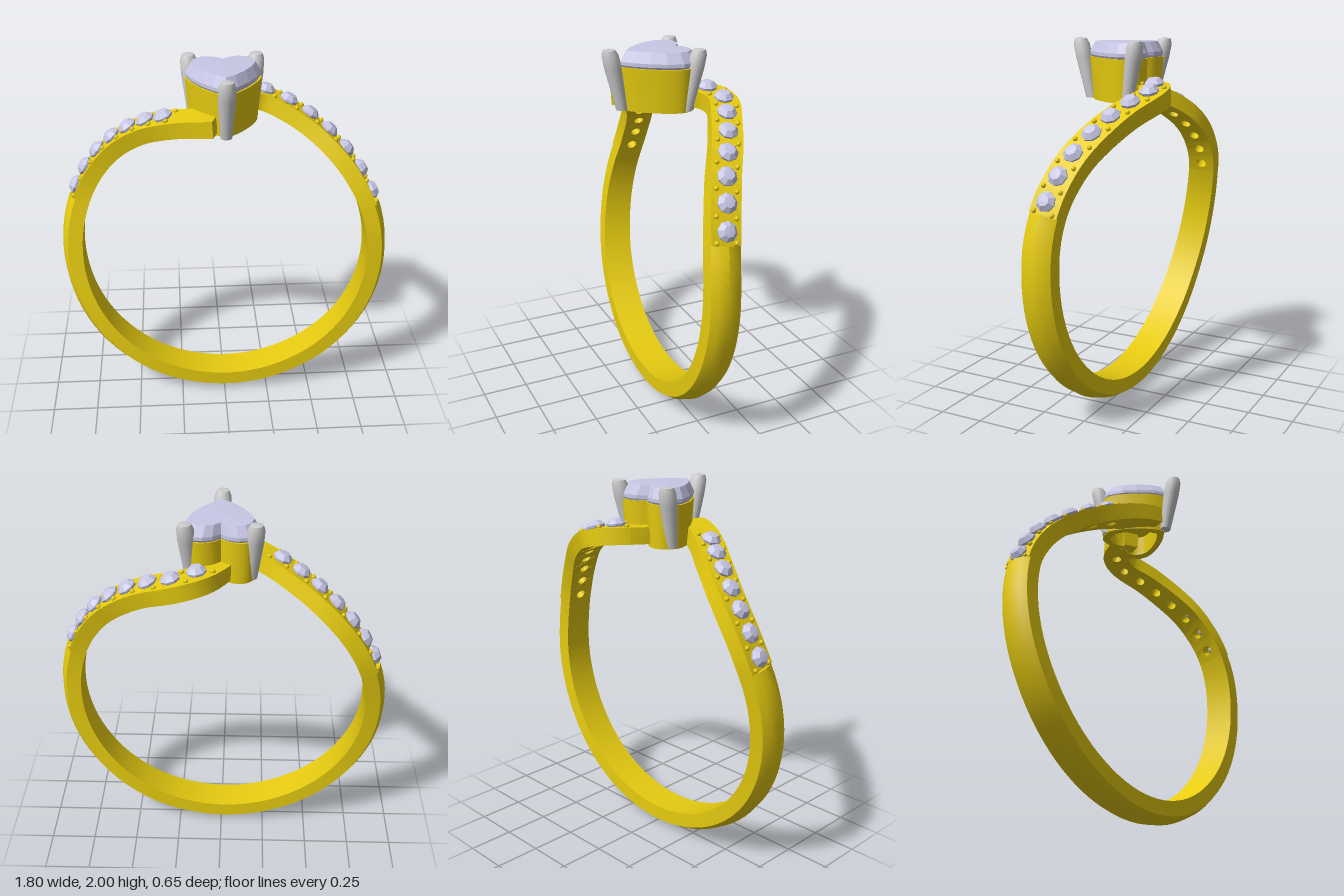
import * as THREE from 'three';
import { mergeGeometries, toCreasedNormals } from 'three/addons/utils/BufferGeometryUtils.js';

const CY = 0.9, R_IN = 0.787, R_PAVE = 0.877, R_MID = 0.83;
const DEG = Math.PI / 180;
const gold = new THREE.MeshStandardMaterial({ color: 0xe6cb10 });
const grey = new THREE.MeshStandardMaterial({ color: 0xcccccc });
const gem = new THREE.MeshStandardMaterial({ color: 0xc8c8e6, flatShading: true });

// Centre line of the band, unrolled: degrees clockwise from the top, and z.
const path = new THREE.CatmullRomCurve3([
  [0.5, -0.08], [4, -0.17], [9, -0.235], [16, -0.253], [27, -0.19], [35, -0.14],
  [48, -0.055], [58, -0.008], [66, 0.02], [78, 0.042], [95, 0.048], [120, 0.045],
  [150, 0.03], [180, 0.02], [210, 0.005], [240, -0.03], [265, -0.08], [282, -0.12],
  [294, -0.148], [302, -0.152], [310, -0.145], [318, -0.12], [325, -0.08],
  [332, -0.03], [339, 0.035], [346, 0.095], [352, 0.14], [357, 0.165],
].map(([a, z]) => new THREE.Vector3(a * DEG * R_MID, z, 0)));
path.arcLengthDivisions = 800;
const LEN = path.getLength();

// Length along the path at a given angle.
function lengthAt(deg) {
  let lo = 0, hi = 1;
  for (let i = 0; i < 30; i++) {
    const m = (lo + hi) / 2;
    if (path.getPointAt(m).x < deg * DEG * R_MID) lo = m; else hi = m;
  }
  return lo * LEN;
}

// Point on the band: s along it, w across it, r from the ring's axis.
function onBand(s, w, r) {
  const u = THREE.MathUtils.clamp(s / LEN, 0, 1);
  const c = path.getPointAt(u), t = path.getTangentAt(u);
  const a = (c.x - t.y * w) / R_MID;
  return { angle: a, pos: new THREE.Vector3(r * Math.sin(a), CY + r * Math.cos(a), c.y + t.x * w) };
}

function bend(geo, rule) {
  const p = geo.attributes.position;
  for (let i = 0; i < p.count; i++) {
    const q = onBand(...rule(p.getX(i), p.getY(i), p.getZ(i))).pos;
    p.setXYZ(i, q.x, q.y, q.z);
  }
  return geo;
}

function add(group, name, geo, mat) {
  const m = new THREE.Mesh(geo, mat);
  m.name = name;
  group.add(m);
  return m;
}

// Solid stretch of band; the profile is given as [half-width fraction, radius].
function plainBand(from, to, profile, bulge) {
  const s0 = lengthAt(from), len = lengthAt(to) - s0;
  const shape = new THREE.Shape(profile.map(([x, r]) => new THREE.Vector2(x, r)));
  const geo = new THREE.ExtrudeGeometry(shape, { depth: len, steps: Math.ceil(len / 0.06), bevelEnabled: false });
  bend(geo, (x, y, z) => [s0 + z, -x * (0.08 + bulge * Math.sin(Math.PI * z / len)), y]);
  return toCreasedNormals(geo, 0.45);
}

const flatProfile = [[-1, R_IN], [1, R_IN], [1, R_PAVE], [-1, R_PAVE]];
const domedProfile = [[-1, R_IN], [1, R_IN], [1, 0.868], [0.6, 0.89], [0, 0.901], [-0.6, 0.89], [-1, 0.868]];

// Row of drilled cells, each with a stone, and beads between the stones.
function paveArm(name, from, to, n) {
  const arm = new THREE.Group();
  arm.name = name;
  const s0 = lengthAt(from), cell = (lengthAt(to) - s0) / n, h = 0.08;
  const cells = [];
  for (let i = 0; i < n; i++) {
    const pts = [];
    for (let k = 0; k <= 4; k++) pts.push(new THREE.Vector2(cell * k / 4, -h));
    for (let k = 4; k >= 0; k--) pts.push(new THREE.Vector2(cell * k / 4, h));
    const shape = new THREE.Shape(pts);
    shape.holes.push(new THREE.Path().absarc(cell / 2, 0, 0.029, 0, Math.PI * 2, true));
    const geo = new THREE.ExtrudeGeometry(shape, { depth: R_PAVE - R_IN, bevelEnabled: false, curveSegments: 12 });
    cells.push(bend(geo, (x, y, z) => [s0 + i * cell + x, -y, R_IN + z]));
  }
  add(arm, 'drilledBand', toCreasedNormals(mergeGeometries(cells), 0.45), gold);

  const stoneGeo = new THREE.LatheGeometry(
    [[0, -0.045], [0.05, 0], [0.053, 0.012], [0.03, 0.036], [0, 0.038]].map(([x, y]) => new THREE.Vector2(x, y)), 8);
  const beadGeo = new THREE.SphereGeometry(0.013, 8, 6);
  for (let i = 0; i <= n; i++) {
    for (const w of [-0.053, 0.053]) {
      const inset = i === 0 ? 0.012 : i === n ? -0.012 : 0;
      add(arm, 'bead', beadGeo, gold).position.copy(onBand(s0 + i * cell + inset, w, R_PAVE + 0.004).pos);
    }
    if (i === n) break;
    const { pos, angle } = onBand(s0 + (i + 0.5) * cell, 0, R_PAVE + 0.002);
    const stone = add(arm, 'smallStone', stoneGeo, gem);
    stone.position.copy(pos);
    stone.rotation.set(0, i * 1.3, -angle, 'ZXY');
  }
  return arm;
}

// Half outline of the heart as [x, z], from the front tip to the back notch.
const heartHalf = [[0, 0.22], [0.06, 0.175], [0.12, 0.105], [0.168, 0.03], [0.196, -0.05],
  [0.183, -0.108], [0.142, -0.152], [0.09, -0.16], [0.04, -0.145], [0, -0.113]]
  .map(([x, z]) => new THREE.Vector3(x, 0, z));

// Lathe whose rings follow the heart; the profile is [scale, y].
function heartLathe(profile, half) {
  const n = half.length - 1;
  const geo = new THREE.LatheGeometry(profile.map(([s, y]) => new THREE.Vector2(s, y)), 2 * n);
  const p = geo.attributes.position;
  for (let i = 0; i < p.count; i++) {
    const col = Math.floor(i / profile.length), [s, y] = profile[i % profile.length];
    const c = half[col <= n ? col : 2 * n - col];
    p.setXYZ(i, s * c.x * (col <= n ? 1 : -1), y, s * c.z);
  }
  return toCreasedNormals(geo, 0.5);
}

// Tapered claw leaning from its foot to its tip.
function prong(x0, z0, x1, z1) {
  const y0 = 1.675, H = 2 - y0;
  const geo = new THREE.LatheGeometry(
    [[0, 0], [0.03, 0], [0.045, 0.22], [0.044, 0.29], [0.033, 0.317], [0, H]]
      .map(([x, y]) => new THREE.Vector2(x, y)), 16);
  const p = geo.attributes.position;
  for (let i = 0; i < p.count; i++) {
    const k = p.getY(i) / H;
    p.setXYZ(i, p.getX(i) + x0 + (x1 - x0) * k, p.getY(i) + y0, p.getZ(i) + z0 + (z1 - z0) * k);
  }
  return toCreasedNormals(geo, 0.6);
}

export function createModel() {
  const ring = new THREE.Group();
  ring.name = 'ring';

  // Band: plain lower shank, two stone-set arms and their ends at the setting
  add(ring, 'shank', plainBand(70, 290, domedProfile, 0.011), gold);
  add(ring, 'leftArmEnd', plainBand(0.5, 4.5, flatProfile, 0), gold);
  add(ring, 'rightArmEnd', plainBand(342.5, 357, flatProfile, 0), gold);
  ring.add(paveArm('leftArm', 4.5, 70, 8), paveArm('rightArm', 290, 342.5, 7));

  // Heart-shaped setting, hollow underneath
  const smoothHalf = new THREE.CatmullRomCurve3(heartHalf).getPoints(27);
  add(ring, 'setting', heartLathe([[0, 1.79], [0.7, 1.79], [0.7, 1.67], [0.92, 1.67], [1.01, 1.9],
    [0.9, 1.9], [0.86, 1.87], [0, 1.87]], smoothHalf), gold);

  // Centre stone
  add(ring, 'centreStone', heartLathe([[0, 1.84], [0.9, 1.885], [1, 1.91], [1, 1.928],
    [0.84, 1.982], [0, 1.986]], heartHalf), gem);

  // Three prongs
  add(ring, 'frontProng', prong(0, 0.213, 0, 0.28), grey);
  for (const s of [-1, 1]) add(ring, 'backProng', prong(s * 0.155, -0.085, s * 0.177, -0.145), grey);

  return ring;
}
